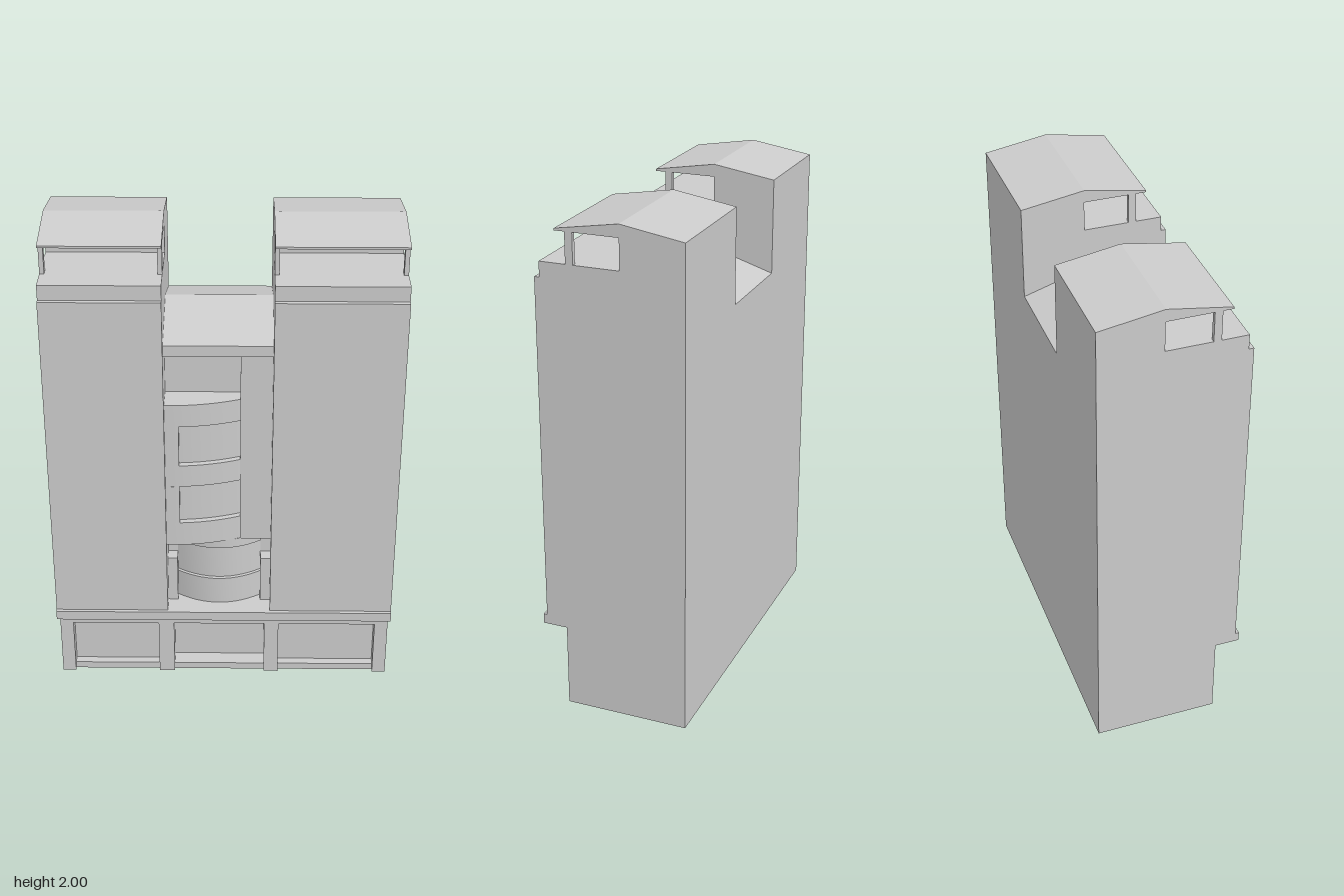
import * as THREE from 'three';
import { toCreasedNormals } from 'three/addons/utils/BufferGeometryUtils.js';

const material = new THREE.MeshStandardMaterial({ color: 0xcccccc });

export function createModel() {
  const model = new THREE.Group();

  function add(name, geometry) {
    const mesh = new THREE.Mesh(geometry, material);
    mesh.name = name;
    model.add(mesh);
  }
  function box(name, x0, x1, y0, y1, z0, z1) {
    const g = new THREE.BoxGeometry(x1 - x0, y1 - y0, z1 - z0);
    add(name, g.translate((x0 + x1) / 2, (y0 + y1) / 2, (z0 + z1) / 2));
  }
  const shapeOf = (pts) => new THREE.Shape(pts.map(([a, b]) => new THREE.Vector2(a, b)));
  const extrude = (shape, depth) => new THREE.ExtrudeGeometry(shape, { depth, bevelEnabled: false });

  // Side profile of [z, y] points swept from x0 to x1
  function sideProfile(name, pts, x0, x1) {
    add(name, extrude(shapeOf(pts), x1 - x0).rotateY(-Math.PI / 2).translate(x1, 0, 0));
  }
  // Block with a curved front z = front(x), from y0 to y1
  function curvedBlock(name, front, x0, x1, y0, y1, back) {
    const pts = [[x0, -back], [x1, -back]];
    const n = 14;
    for (let i = 0; i <= n; i++) {
      const x = x1 + (x0 - x1) * i / n;
      pts.push([x, -front(x)]);
    }
    const g = extrude(shapeOf(pts), y1 - y0).rotateX(-Math.PI / 2).translate(0, y0, 0);
    add(name, toCreasedNormals(g, 0.5));
  }

  // Ground floor: core, front wall with three openings, panels and sills
  const xL = -0.69, xR = 0.69, gapL = -0.23, gapR = 0.19;
  box('baseCore', xL, xR, 0, 0.34, -0.3, 0.115);
  const bays = [[-0.635, -0.275, 0.15], [-0.21, 0.17, 0.116], [0.23, 0.635, 0.15]];
  const wall = [[xL, 0]];
  for (const [a, b] of bays) wall.push([a, 0], [a, 0.25], [b, 0.25], [b, 0]);
  wall.push([xR, 0], [xR, 0.34], [xL, 0.34]);
  add('baseFrontWall', extrude(shapeOf(wall), 0.085).translate(0, 0, 0.115));
  for (const [a, b, z] of bays) {
    box('shopPanel', a, b, 0.03, 0.25, 0.11, z);
    box('shopSill', a, b, 0, 0.03, 0.11, 0.185);
  }
  box('baseLedge', xL, xR, 0.34, 0.38, -0.3, 0.3);

  // Twin towers with a terrace notch under the pitched roof
  const tower = [
    [-0.3, 0.38], [0.285, 0.38], [0.285, 1.77], [0.265, 1.77], [0.265, 1.83],
    [-0.05, 1.83], [-0.05, 1.95], [0.2, 1.95], [0.2, 1.958], [-0.05, 2], [-0.3, 1.96],
  ];
  for (const [a, b] of [[xL, gapL], [gapR, xR]]) {
    sideProfile('tower', tower, a, b);
    for (const x of [a, b - 0.018]) box('terracePost', x, x + 0.018, 1.83, 1.95, 0.13, 0.16);
  }

  // Central block and its roof
  box('centreCore', gapL, gapR, 0.38, 1.54, -0.3, 0.15);
  sideProfile('centreRoof',
    [[-0.3, 1.54], [0.265, 1.54], [0.265, 1.585], [-0.02, 1.667], [-0.3, 1.58]], gapL, gapR);
  box('centrePier', 0.065, gapR, 0.69, 1.54, 0.14, 0.216);

  // Curved upper bay: spandrels, jamb and recessed glazing
  const bayFront = (x) => 0.265 - 0.72 + Math.sqrt(0.72 ** 2 - (x + 0.21) ** 2);
  for (const [y0, y1] of [[0.69, 0.795], [0.965, 1.06], [1.235, 1.33]])
    curvedBlock('baySpandrel', bayFront, gapL, 0.065, y0, y1, 0.14);
  for (const [y0, y1] of [[0.795, 0.965], [1.06, 1.235]]) {
    curvedBlock('bayJamb', bayFront, gapL, -0.175, y0, y1, 0.14);
    curvedBlock('bayWindow', (x) => bayFront(x) - 0.025, -0.175, 0.065, y0, y1, 0.14);
  }

  // Bowed lower window between low side blocks
  const bowFront = (x) => 0.168 + 0.06 * (1 - ((x + 0.02) / 0.17) ** 2);
  curvedBlock('bowParapet', bowFront, -0.19, 0.15, 0.38, 0.5, 0.14);
  curvedBlock('bowWindow', (x) => bowFront(x) - 0.015, -0.19, 0.15, 0.5, 0.65, 0.14);
  curvedBlock('bowLintel', bowFront, -0.19, 0.15, 0.65, 0.69, 0.14);
  for (const [a, b] of [[gapL, -0.19], [0.15, gapR]])
    box('sideBlock', a, b, 0.38, 0.585, 0.14, 0.206);

  return model;
}
